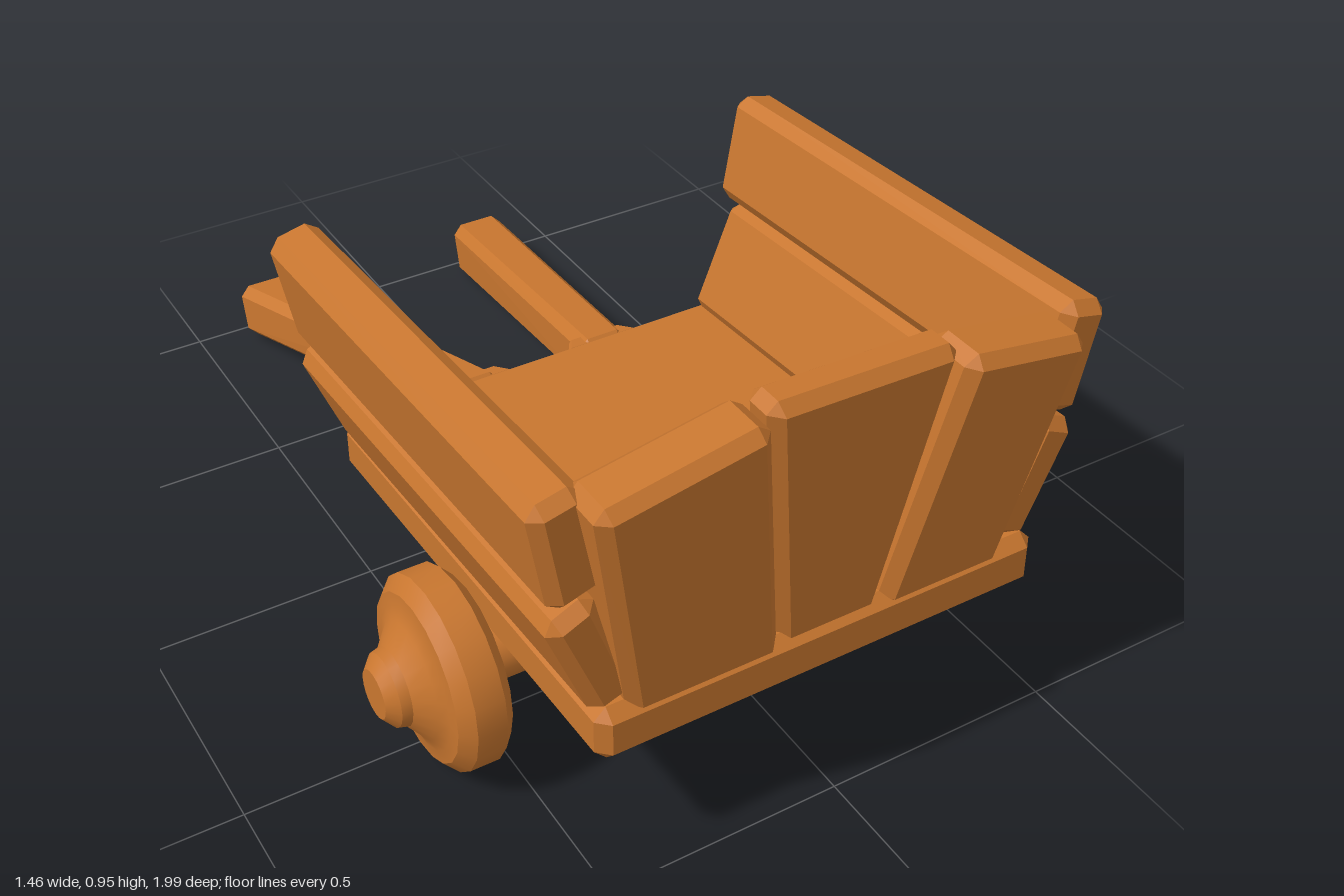
import * as THREE from 'three';
import { toCreasedNormals } from 'three/addons/utils/BufferGeometryUtils.js';
import { ConvexGeometry } from 'three/addons/geometries/ConvexGeometry.js';

const wood = new THREE.MeshStandardMaterial({ color: 0xc8762f });
wood.name = 'wood';

// Timber with chamfered edges between two four-cornered ends (same corner order)
function timber(name, endA, endB, bevel) {
  const ends = [endA, endB].map(e => e.map(p => new THREE.Vector3(...p)));
  const points = [];
  for (let e = 0; e < 2; e++) {
    for (let i = 0; i < 4; i++) {
      const c = ends[e][i];
      const dirs = [ends[e][(i + 1) % 4], ends[e][(i + 3) % 4], ends[1 - e][i]]
        .map(n => n.clone().sub(c).normalize().multiplyScalar(bevel));
      // one point on each of the three faces meeting at this corner
      for (let k = 0; k < 3; k++) {
        points.push(c.clone().add(dirs[k]).add(dirs[(k + 1) % 3]));
      }
    }
  }
  const mesh = new THREE.Mesh(new ConvexGeometry(points), wood);
  mesh.name = name;
  return mesh;
}

// Turned part around the x axis; profile is [x, radius]
function turned(name, profile, segments) {
  const lathe = new THREE.LatheGeometry(profile.map(([x, r]) => new THREE.Vector2(r, x)), segments);
  lathe.rotateZ(-Math.PI / 2);
  const mesh = new THREE.Mesh(toCreasedNormals(lathe, 0.5), wood);
  mesh.name = name;
  return mesh;
}

export function createModel() {
  const cart = new THREE.Group();
  cart.name = 'handcart';

  // Sloping floor
  const floorEnd = (z, low, high, w) => [[-w, low, z], [w, low, z], [w, high, z - 0.005], [-w, high, z - 0.005]];
  cart.add(timber('floor', floorEnd(0.95, 0.265, 0.385, 0.49), floorEnd(-0.13, 0.205, 0.325, 0.485), 0.025));

  // Two leaning boards on each side, dropping toward the back
  const sections = [
    ['lowerSideBoard', [[0.39, 0.39], [0.48, 0.355], [0.58, 0.60], [0.485, 0.645]], -0.13, -0.13],
    ['upperSideBoard', [[0.455, 0.66], [0.565, 0.625], [0.61, 0.865], [0.505, 0.89]], -0.14, -0.16],
  ];
  for (const side of [1, -1]) {
    for (const [name, section, zLow, zHigh] of sections) {
      const front = section.map(([x, y]) => [side * x, y, 0.92]);
      const back = section.map(([x, y], i) => [side * x, y - 0.063, i < 2 ? zLow : zHigh]);
      cart.add(timber(name, front, back, 0.024));
    }
  }

  // Three fanned front planks: bottom x range, then top corners, then z of each face
  const planks = [
    ['frontPlankRight', -0.42, -0.10, [-0.53, 0.88], [-0.195, 0.94], [0.81, 0.94], [0.87, 1.0]],
    ['frontPlankMiddle', -0.10, 0.12, [-0.195, 0.96], [0.205, 0.95], [0.825, 0.93], [0.89, 0.985]],
    ['frontPlankLeft', 0.12, 0.40, [0.215, 0.92], [0.49, 0.875], [0.81, 0.94], [0.87, 1.0]],
  ];
  for (const [name, x0, x1, [tx0, ty0], [tx1, ty1], [zb, zf], [tzb, tzf]] of planks) {
    const y = 0.345;
    cart.add(timber(name,
      [[x0, y, zb], [x1, y, zb], [x1, y, zf], [x0, y, zf]],
      [[tx0, ty0, tzb], [tx1, ty1, tzb], [tx1, ty1, tzf], [tx0, ty0, tzf]], 0.024));
  }

  // Splayed handles with a flared foot where they meet the floor
  const bar = (x0, x1, low, high, zLow, zHigh) =>
    [[x0, low, zLow], [x1, low, zLow], [x1, high, zHigh], [x0, high, zHigh]];
  const handles = [
    ['rightHandle', -0.225, -0.105, -0.39, -0.255, 0.012],
    ['leftHandle', 0.095, 0.215, 0.215, 0.35, 0.0],
  ];
  for (const [name, b0, b1, e0, e1, y] of handles) {
    cart.add(timber(name, bar(b0, b1, 0.205, 0.325, -0.11, -0.11),
      bar(e0, e1, y, 0.13 + y * 0.5, -0.965, -1.0), 0.022));
    cart.add(timber(name + 'Foot', bar(b0 - 0.03, b1 + 0.03, 0.213, 0.316, -0.12, -0.12),
      bar(b0 - 0.003, b1 + 0.003, 0.205, 0.308, -0.165, -0.165), 0.006));
  }

  // Axle and wheels
  const running = new THREE.Group();
  running.name = 'wheelset';
  running.position.set(0, 0.205, 0.525);
  running.add(turned('axle', [[-0.56, 0], [-0.56, 0.065], [0.56, 0.065], [0.56, 0]], 20));
  const wheelProfile = [
    [0.505, 0], [0.505, 0.068], [0.53, 0.09], [0.53, 0.175], [0.553, 0.2], [0.615, 0.2],
    [0.642, 0.172], [0.645, 0.145], [0.655, 0.12], [0.688, 0.08], [0.708, 0.075], [0.73, 0.05], [0.73, 0],
  ];
  for (const side of [1, -1]) {
    const wheel = turned(side > 0 ? 'leftWheel' : 'rightWheel', wheelProfile, 20);
    if (side < 0) wheel.rotation.y = Math.PI;
    running.add(wheel);
  }
  cart.add(running);

  return cart;
}
